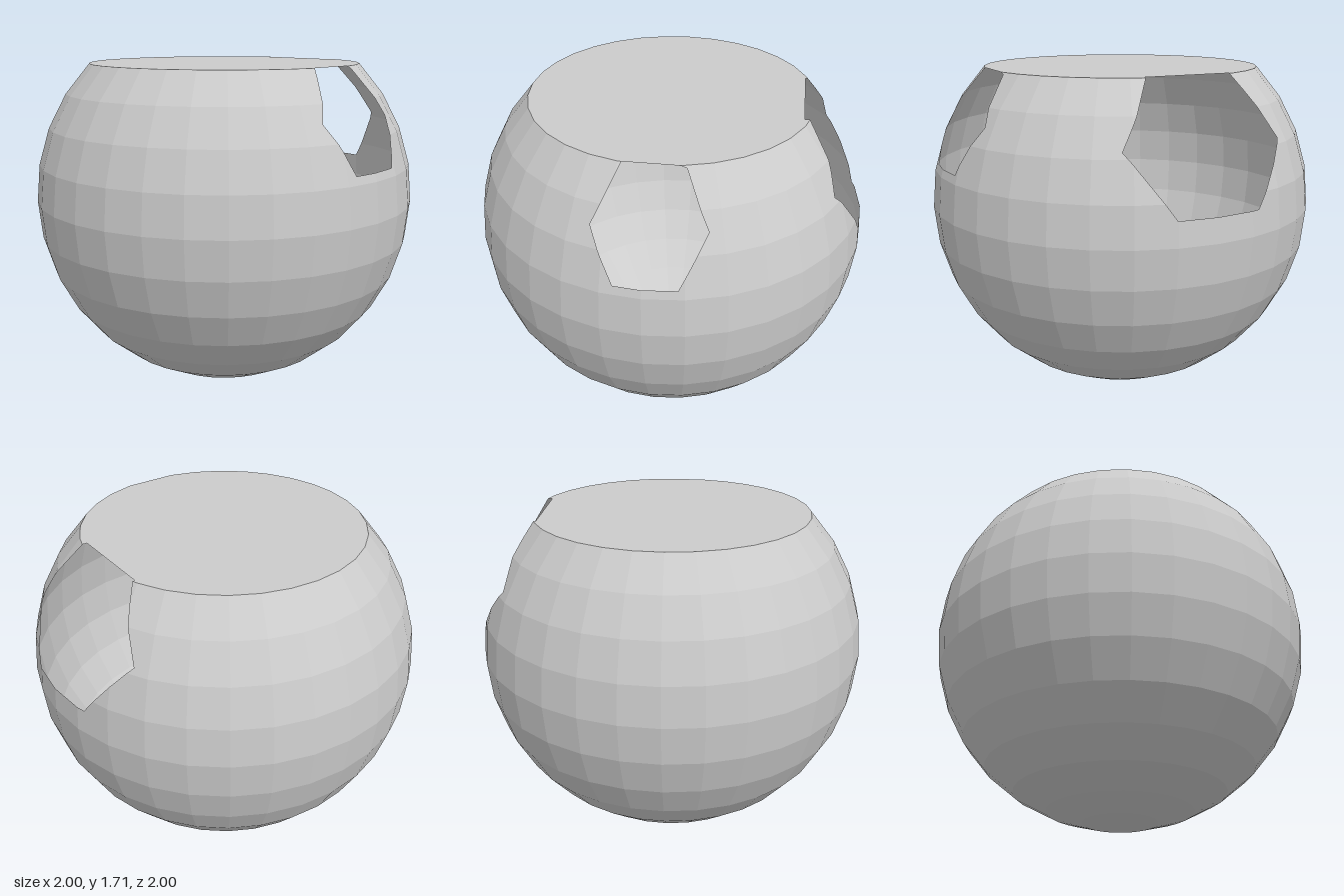
import * as THREE from 'three';

const SEGMENTS = 32, RINGS = 16, CUT_RING = 4;

// Point on the globe, which is centred at y = 1
function globePoint(ring, seg) {
  const t = ring / RINGS * Math.PI, a = seg / SEGMENTS * Math.PI * 2;
  return new THREE.Vector3(Math.sin(t) * Math.sin(a), 1 + Math.cos(t), Math.sin(t) * Math.cos(a));
}

// Six-sided prism as planes facing outward; corners are (u, y), u runs along uAxis
function prism(corners, uAxis, depthAxis, depth) {
  const pts = corners.map(([u, y]) => uAxis.clone().multiplyScalar(u).setY(y));
  const centre = pts.reduce((s, p) => s.add(p), new THREE.Vector3()).divideScalar(pts.length);
  const planes = pts.map((p, i) => {
    const normal = pts[(i + 1) % pts.length].clone().sub(p).cross(depthAxis).normalize();
    const plane = new THREE.Plane().setFromNormalAndCoplanarPoint(normal, p);
    return plane.distanceToPoint(centre) > 0 ? plane.negate() : plane;
  });
  planes.push(new THREE.Plane(depthAxis.clone().negate(), depth));
  return planes;
}

// Split a convex polygon into the parts in front of and behind a plane
function split(poly, plane) {
  const front = [], back = [];
  poly.forEach((p, i) => {
    const q = poly[(i + 1) % poly.length];
    const dp = plane.distanceToPoint(p), dq = plane.distanceToPoint(q);
    if (dp >= 0) front.push(p);
    if (dp <= 0) back.push(p);
    if (dp * dq < 0) {
      const m = p.clone().lerp(q, dp / (dp - dq));
      front.push(m);
      back.push(m);
    }
  });
  return [front, back];
}

// Remove a convex prism from a polygon, keeping the pieces outside it
function subtract(poly, planes) {
  const kept = [];
  let rest = poly;
  for (const plane of planes) {
    const [front, back] = split(rest, plane);
    if (back.length < 3) return [poly];
    if (front.length > 2) kept.push(front);
    rest = back;
  }
  return kept;
}

function facetedMesh(name, polys, openings, material) {
  for (const planes of openings) polys = polys.flatMap(p => subtract(p, planes));
  const points = [];
  for (const p of polys)
    for (let i = 1; i < p.length - 1; i++) points.push(p[0], p[i], p[i + 1]);
  const geometry = new THREE.BufferGeometry().setFromPoints(points);
  geometry.computeVertexNormals();
  const mesh = new THREE.Mesh(geometry, material);
  mesh.name = name;
  return mesh;
}

export function createModel() {
  const group = new THREE.Group();
  group.name = 'hollowGlobe';
  const material = new THREE.MeshStandardMaterial({
    color: 0xcccccc, flatShading: true, side: THREE.DoubleSide,
  });
  const X = new THREE.Vector3(1, 0, 0), Z = new THREE.Vector3(0, 0, 1);

  // Small front opening and wide left opening
  const openings = [
    prism([[-0.13, 1.235], [0.16, 1.235], [0.275, 1.47], [0.15, 1.72], [-0.115, 1.72], [-0.24, 1.47]], X, Z, 0.695),
    prism([[-0.235, 1.12], [0.195, 1.12], [0.39, 1.41], [0.195, 1.72], [-0.235, 1.72], [-0.44, 1.41]], Z, X, 0.65),
  ];

  // Faceted shell below the flat top
  const shell = [];
  for (let r = CUT_RING; r < RINGS; r++)
    for (let s = 0; s < SEGMENTS; s++) {
      const quad = [globePoint(r, s), globePoint(r + 1, s)];
      if (r < RINGS - 1) quad.push(globePoint(r + 1, s + 1));
      quad.push(globePoint(r, s + 1));
      shell.push(quad);
    }
  group.add(facetedMesh('shell', shell, openings, material));

  // Flat lid, nicked where the openings reach it
  const lid = Array.from({ length: SEGMENTS }, (_, s) => globePoint(CUT_RING, s));
  group.add(facetedMesh('lid', [lid], openings, material));

  return group;
}
